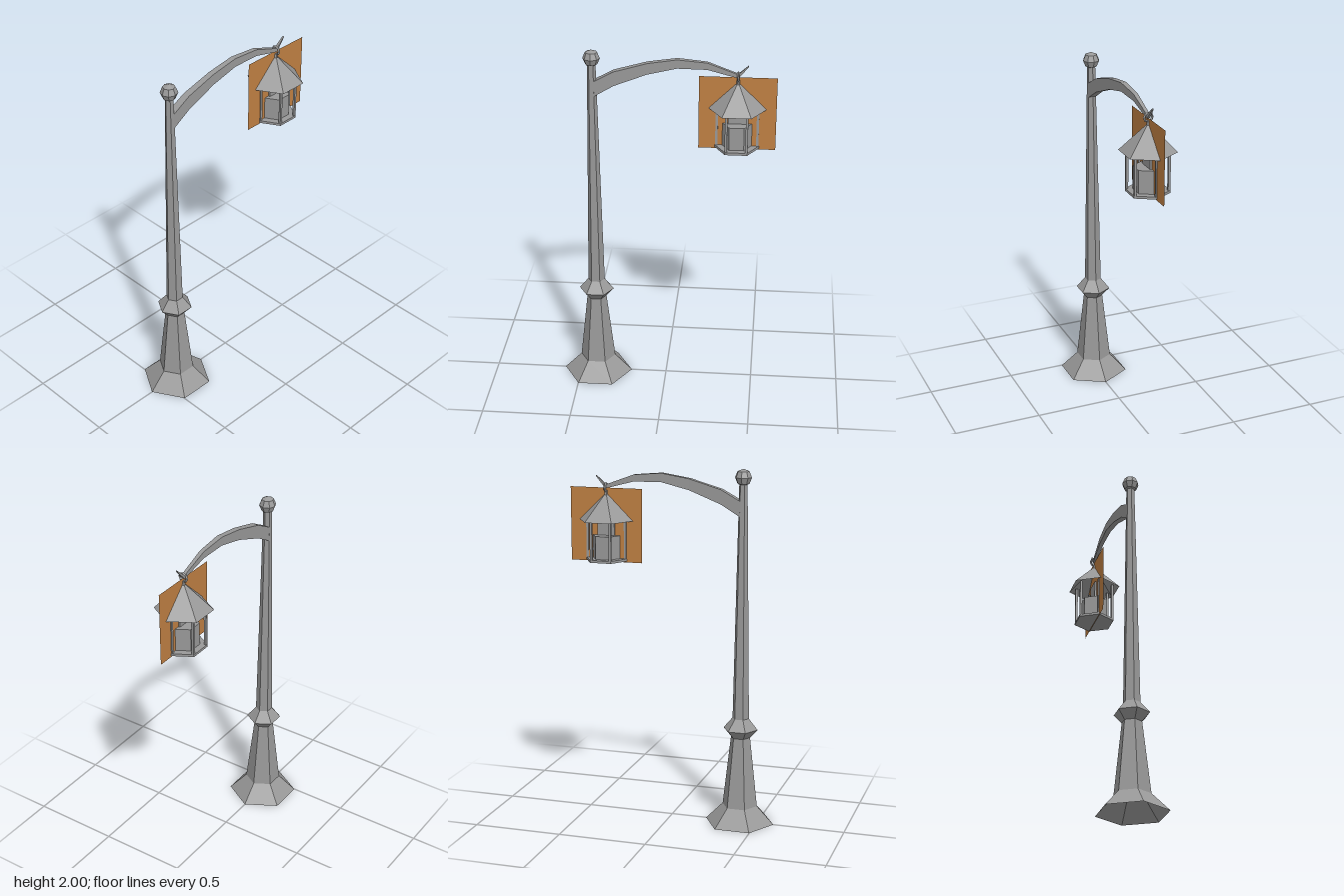
import * as THREE from 'three';

export function createModel() {
  const iron = new THREE.MeshStandardMaterial({ color: 0x999999, flatShading: true, side: THREE.DoubleSide });
  iron.name = 'grey iron';
  const amber = new THREE.MeshStandardMaterial({ color: 0xc08043, side: THREE.DoubleSide });
  amber.name = 'amber glow';

  const model = new THREE.Group();
  model.name = 'streetLamp';
  const add = (parent, name, geometry, material, x = 0, y = 0, z = 0) => {
    const mesh = new THREE.Mesh(geometry, material);
    mesh.name = name;
    mesh.position.set(x, y, z);
    parent.add(mesh);
    return mesh;
  };
  // Six-sided prism or frustum with corners on the x axis
  const hex = (top, bottom, height, open = false) =>
    new THREE.CylinderGeometry(top, bottom, height, 6, 1, open).rotateY(Math.PI / 6);

  // Post: flared foot, collar and long tapering shaft, hollow underneath
  const profile = [[0.197, 0], [0.1, 0.1], [0.055, 0.5], [0.098, 0.548], [0.047, 0.61], [0.023, 1.92]]
    .map(([r, y]) => new THREE.Vector2(r, y));
  add(model, 'post', new THREE.LatheGeometry(profile, 6, Math.PI / 6), iron, -0.4);
  add(model, 'postBall', new THREE.SphereGeometry(0.047, 8, 4), iron, -0.4, 1.953);

  // Arm: rectangular sections [x, lower y, upper y, half width], ending in a hook tip
  const sections = [
    [-0.39, 1.74, 1.825, 0.022], [-0.28, 1.805, 1.885, 0.02], [-0.1, 1.875, 1.937, 0.017],
    [0.06, 1.913, 1.962, 0.015], [0.22, 1.91, 1.948, 0.012], [0.385, 1.866, 1.887, 0.009],
    [0.44, 1.929, 1.937, 0.004],
  ];
  const points = [];
  const index = [];
  sections.forEach(([x, low, high, w], i) => {
    points.push(x, low, w, x, high, w, x, high, -w, x, low, -w);
    if (!i) return;
    for (let k = 0; k < 4; k++) {
      const a = (i - 1) * 4 + k, b = (i - 1) * 4 + (k + 1) % 4;
      index.push(a, a + 4, b, b, a + 4, b + 4);
    }
  });
  const end = (sections.length - 1) * 4;
  index.push(0, 1, 2, 0, 2, 3, end, end + 2, end + 1, end, end + 3, end + 2);
  const armGeometry = new THREE.BufferGeometry();
  armGeometry.setAttribute('position', new THREE.Float32BufferAttribute(points, 3));
  armGeometry.setIndex(index);
  armGeometry.computeVertexNormals();
  add(model, 'arm', armGeometry, iron);

  // Lantern hanging from the arm
  const lantern = new THREE.Group();
  lantern.name = 'lantern';
  lantern.position.x = 0.385;
  model.add(lantern);
  add(lantern, 'hangingRing', new THREE.TorusGeometry(0.023, 0.007, 4, 8).rotateY(Math.PI / 2), iron, 0, 1.872);
  add(lantern, 'roofNeck', hex(0.008, 0.012, 0.04), iron, 0, 1.835);
  add(lantern, 'roof', hex(0.012, 0.156, 0.142, true), iron, 0, 1.759);
  add(lantern, 'floor', hex(0.12, 0.12, 0.014), iron, 0, 1.468);
  for (let i = 0; i < 6; i++) {
    const a = i * Math.PI / 3;
    add(lantern, 'corner' + (i + 1), new THREE.BoxGeometry(0.013, 0.23, 0.013), iron,
      Math.cos(a) * 0.111, 1.586, Math.sin(a) * 0.111);
  }
  add(lantern, 'candle', hex(0.08, 0.08, 0.13), iron, 0, 1.539);
  add(lantern, 'wick', new THREE.BoxGeometry(0.1, 0.12, 0.02), iron, 0, 1.655);

  // Flat sheet of light through the lantern
  add(model, 'glowSheet', new THREE.PlaneGeometry(0.418, 0.414), amber, 0.385, 1.662);
  return model;
}
